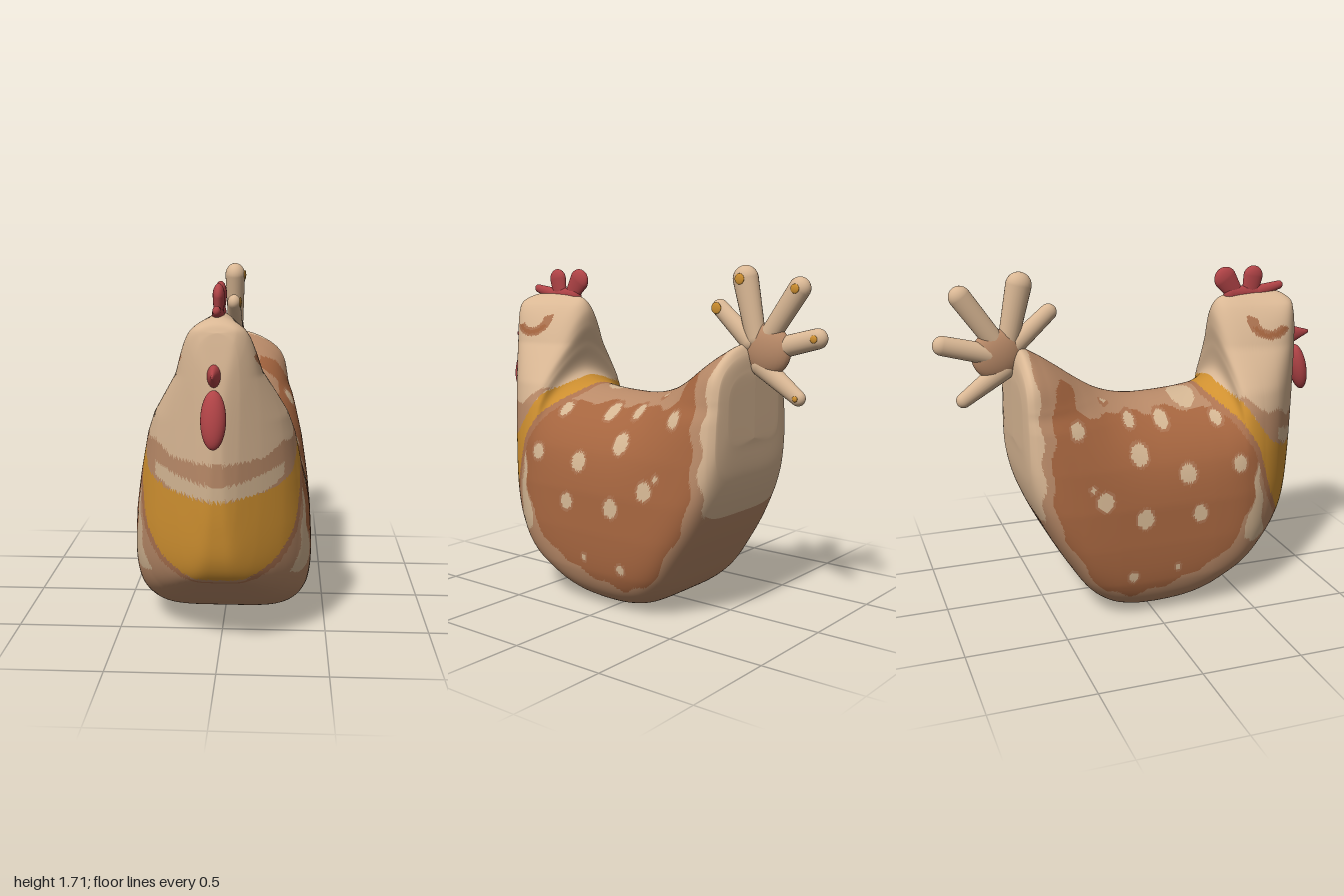
import * as THREE from 'three';

const mat = (name, color) => Object.assign(new THREE.MeshStandardMaterial({ color }), { name });

// linear lookup in a table of [key, value] rows with ascending keys
function lookup(table, k) {
  let i = 0;
  while (i < table.length - 2 && k > table[i + 1][0]) i++;
  const [k0, v0] = table[i], [k1, v1] = table[i + 1];
  return v0 + (v1 - v0) * THREE.MathUtils.clamp((k - k0) / (k1 - k0), 0, 1);
}

function inside(poly, z, y) {
  let hit = false;
  for (let i = 0, j = poly.length - 1; i < poly.length; j = i++) {
    const [az, ay] = poly[i], [bz, by] = poly[j];
    if ((ay > y) !== (by > y) && z < (bz - az) * (y - ay) / (by - ay) + az) hit = !hit;
  }
  return hit;
}

// body sections from rump to face: lower/front point (z, y), then upper/back point (z, y)
const SECTIONS = [
  [-.625, .9, -.625, 1.2], [-.622, .87, -.622, 1.23], [-.61, .72, -.61, 1.31], [-.58, .6, -.58, 1.35],
  [-.5, .42, -.5, 1.315], [-.4, .25, -.4, 1.25], [-.3, .11, -.3, 1.18], [-.2, .04, -.2, 1.12],
  [-.1, .012, -.1, 1.085], [0, .005, 0, 1.07], [.1, .008, .1, 1.07], [.2, .02, .2, 1.075],
  [.3, .05, .3, 1.085], [.4, .1, .39, 1.105], [.5, .155, .455, 1.16], [.6, .22, .45, 1.29],
  [.7, .29, .435, 1.4], [.8, .37, .44, 1.48], [.85, .46, .47, 1.53], [.88, .62, .53, 1.553],
  [.897, .85, .62, 1.56], [.905, 1.1, .72, 1.56], [.895, 1.3, .8, 1.553], [.877, 1.43, .845, 1.53],
  [.866, 1.495, .866, 1.495],
];
const WIDTH_BY_HEIGHT = [[0, .425], [.2, .438], [.4, .434], [.6, .422], [.8, .395], [1, .355],
  [1.1, .32], [1.2, .26], [1.3, .2], [1.4, .175], [1.5, .15], [1.56, .12]];
const WIDTH_BY_DEPTH = [[-.625, 0], [-.622, .22], [-.61, .33], [-.58, .39], [-.55, .43], [-.5, .48],
  [-.4, .6], [-.2, .9], [.3, .9], [.4, .75], [.5, .56], [.6, .42], [.7, .31], [.8, .19], [.87, .1],
  [.905, .04]];

function halfWidth(z, y) {
  const tail = THREE.MathUtils.smoothstep(-z, .1, .45) * THREE.MathUtils.smoothstep(y, 1.05, 1.3);
  const a = lookup(WIDTH_BY_HEIGHT, y) + .14 * tail, b = lookup(WIDTH_BY_DEPTH, z);
  return Math.pow(a ** -5 + b ** -5, -1 / 5);
}

// painted regions as seen from the side (z, y)
const WING = [[.4, 1.03], [.5, .93], [.54, .8], [.53, .6], [.45, .42], [.32, .28], [.1, .19], [-.15, .13],
  [-.27, .17], [-.4, .35], [-.5, .58], [-.52, .75], [-.5, 1], [-.47, 1.2], [-.42, 1.22], [-.37, 1.17],
  [-.36, 1.08], [-.25, 1.03], [-.1, 1.04], [0, 1.01], [.1, 1.03], [.3, 1.01]];
const COLLAR = [[.95, .745], [.75, .79], [.65, .84], [.58, .92], [.49, 1.05], [.43, 1.12], [.42, 1.2],
  [.33, 1.2], [.36, 1.08], [.47, .97], [.56, .83], [.6, .7], [.64, .58], [.72, .45], [.8, .36], [.95, .36]];
const NECK_BAND = [[.95, .92], [.78, .94], [.7, 1], [.62, .99], [.5, 1.08], [.47, 1.08], [.58, .92],
  [.65, .84], [.75, .79], [.95, .74]];
const NECK_STRIPE = [[.95, .75], [.78, .785], [.7, .84], [.7, .9], [.8, .86], [.95, .81]];
const CHEST_PATCH = [[.555, .83], [.53, .6], [.46, .36], [.5, .34], [.61, .34], [.575, .58]];
const SPOTS = [[.445, .765, .036], [.165, .745, .042], [-.075, .855, .044], [.08, .985, .034], [-.09, 1, .028],
  [-.19, 1.1, .022], [-.38, 1, .034], [-.27, .655, .04], [-.07, .545, .042], [.22, .54, .036],
  [-.135, .245, .022], [-.33, .72, .013], [.1, .27, .013], [.36, .98, .028]];

const [CREAM, PALE, TAN, CLAY, BROWN, ORANGE] = [0, 1, 2, 3, 4, 5];
function paint(x, y, z) {
  if (y > 1.3 && z > .5) {
    const eye = Math.hypot((z - .7) / .115, (y - 1.43) / .09);
    if (y > 1.42 + (.7 - z) * .3 || eye < .55 || eye > 1.05) return CREAM;
    return eye > .7 && eye < .92 && y < 1.4 ? BROWN : CLAY;
  }
  if (inside(COLLAR, z, y)) return ORANGE;
  if (inside(NECK_STRIPE, z, y)) return PALE;
  if (inside(NECK_BAND, z, y)) return TAN;
  if (y > .33 && z < .78 && inside(COLLAR, z + .025, y + .02)) return CLAY;
  if (y > .9 && Math.hypot((x + .07) / .11, (z - .24) / .065) < 1) return PALE;
  const wz = z + .01 * Math.sin(y * 31), wy = y + .01 * Math.sin(z * 37);
  if (Math.abs(x) > .12) for (const [sz, sy, r] of SPOTS) {
    const d = Math.hypot(z - sz, (y - sy) * .9);
    if (d < r) return PALE;
    if (d < r + .012) return CLAY;
  }
  if (inside(WING, wz, wy)) return BROWN;
  if (inside(CHEST_PATCH, wz, wy)) return PALE;
  if ((z > .4 && y > .9) || (wz < -.555 && y > .52)) return CREAM;
  return TAN;
}

// body, neck and head as one lofted skin, split into colour groups
function buildBody(materials) {
  const low = new THREE.CatmullRomCurve3(SECTIONS.map(s => new THREE.Vector3(0, s[1], s[0])));
  const high = new THREE.CatmullRomCurve3(SECTIONS.map(s => new THREE.Vector3(0, s[3], s[2])));
  const spans = SECTIONS.length - 1, rings = spans * 9, sides = 200, pos = [];
  for (let i = 0; i <= rings; i++) {
    const a = low.getPoint(i / rings), b = high.getPoint(i / rings);
    // the last sections round off into the face
    const left = Math.min(1, (1 - i / rings) * spans / 3), close = Math.sqrt(1 - (1 - left) ** 2);
    for (let j = 0; j < sides; j++) {
      const angle = j / sides * Math.PI * 2, v = -Math.cos(angle);
      const p = a.clone().lerp(b, (v + 1) / 2), [n, e] = v < 0 ? [4.5, .22] : [3.2, .55];
      const round = close * Math.pow(Math.max(0, 1 - Math.abs(v) ** n), e);
      pos.push(Math.sign(Math.sin(angle)) * halfWidth(p.z, p.y) * round, p.y, p.z);
    }
  }
  const buckets = materials.map(() => []);
  const add = (...tri) => {
    const mid = k => tri.reduce((sum, t) => sum + pos[t * 3 + k], 0) / 3;
    buckets[paint(mid(0), mid(1), mid(2))].push(...tri);
  };
  for (let i = 0; i < rings; i++) for (let j = 0; j < sides; j++) {
    const k = (j + 1) % sides, p = i * sides, q = p + sides;
    add(p + j, p + k, q + j);
    add(p + k, q + k, q + j);
  }
  const geo = new THREE.BufferGeometry();
  geo.setAttribute('position', new THREE.Float32BufferAttribute(pos, 3));
  geo.setIndex(buckets.flat());
  let start = 0;
  buckets.forEach((b, m) => { geo.addGroup(start, b.length, m); start += b.length; });
  geo.computeVertexNormals();
  return new THREE.Mesh(geo, materials);
}

// rounded tapering rod in the side plane, from (z0, y0) to (z1, y1)
function rod(name, [z0, y0, r0], [z1, y1, r1], thickness, material, x = 0) {
  const len = Math.hypot(z1 - z0, y1 - y0), pts = [];
  for (let i = 0; i <= 6; i++) {
    const t = i / 6 * Math.PI / 2;
    pts.push(new THREE.Vector2(r0 * Math.sin(t), -r0 * Math.cos(t)));
  }
  for (let i = 0; i <= 8; i++) {
    const t = i / 8 * Math.PI / 2;
    pts.push(new THREE.Vector2(r1 * Math.cos(t), len + r1 * Math.sin(t)));
  }
  pts[0].x = pts[pts.length - 1].x = 0;
  const mesh = new THREE.Mesh(new THREE.LatheGeometry(pts, 24), material);
  mesh.name = name;
  mesh.position.set(x, y0, z0);
  mesh.rotation.x = Math.atan2(z1 - z0, y1 - y0);
  mesh.scale.x = thickness;
  return mesh;
}

function ellipsoid(name, radii, position, material) {
  const mesh = new THREE.Mesh(new THREE.SphereGeometry(1, 28, 20), material);
  mesh.name = name;
  mesh.scale.set(...radii);
  mesh.position.set(...position);
  return mesh;
}

export function createModel() {
  const cream = mat('cream', 0xd9b794), pale = mat('pale sand', 0xd3b592), tan = mat('tan', 0xb98a68);
  const clay = mat('clay', 0xac7350), brown = mat('brown', 0xa5653f);
  const orange = mat('orange', 0xcf9030), red = mat('red', 0xb04346);
  const model = new THREE.Group();
  model.name = 'hen';

  const body = buildBody([cream, pale, tan, clay, brown, orange]);
  body.name = 'body';
  model.add(body);

  // tail feathers fanning out of a flat tan hub, each with a dot near the tip
  const tail = new THREE.Group();
  tail.name = 'tail';
  tail.add(ellipsoid('tailHub', [.056, .125, .125], [0, 1.325, -.69], tan));
  const feathers = [
    [[-.6, 1.36, .05], [-.425, 1.515, .042], .01, .028], [[-.63, 1.38, .05], [-.568, 1.655, .064], .01, .026],
    [[-.69, 1.38, .05], [-.855, 1.615, .054], 0, .022], [[-.72, 1.33, .052], [-.95, 1.39, .048], -.01, .018],
    [[-.66, 1.25, .055], [-.86, 1.11, .037], 0, .014],
  ];
  for (const [from, to, x, dot] of feathers) {
    tail.add(rod('tailFeather', from, to, .85, cream, x));
    tail.add(ellipsoid('featherDot', [.007, dot, dot], [x + to[2] * .85, to[1], to[0]], orange));
  }
  model.add(tail);

  // comb
  const comb = new THREE.Group();
  comb.name = 'comb';
  comb.add(
    rod('combBase', [.54, 1.55, .04], [.72, 1.553, .035], .7, red, -.005),
    rod('combBackLobe', [.56, 1.56, .045], [.508, 1.63, .061], .46, red, -.005),
    rod('combMiddleLobe', [.65, 1.56, .045], [.663, 1.637, .053], .5, red, -.005),
    rod('combFrontLobe', [.7, 1.555, .035], [.812, 1.583, .022], .8, red, -.005),
  );
  model.add(comb);

  // beak and wattle
  model.add(rod('beak', [.89, 1.315, .05], [.985, 1.325, .012], .6, red, -.012));
  const wattle = ellipsoid('wattle', [.055, .127, .045], [-.012, 1.135, .943], red);
  wattle.rotation.x = -.22;
  model.add(wattle);
  return model;
}
